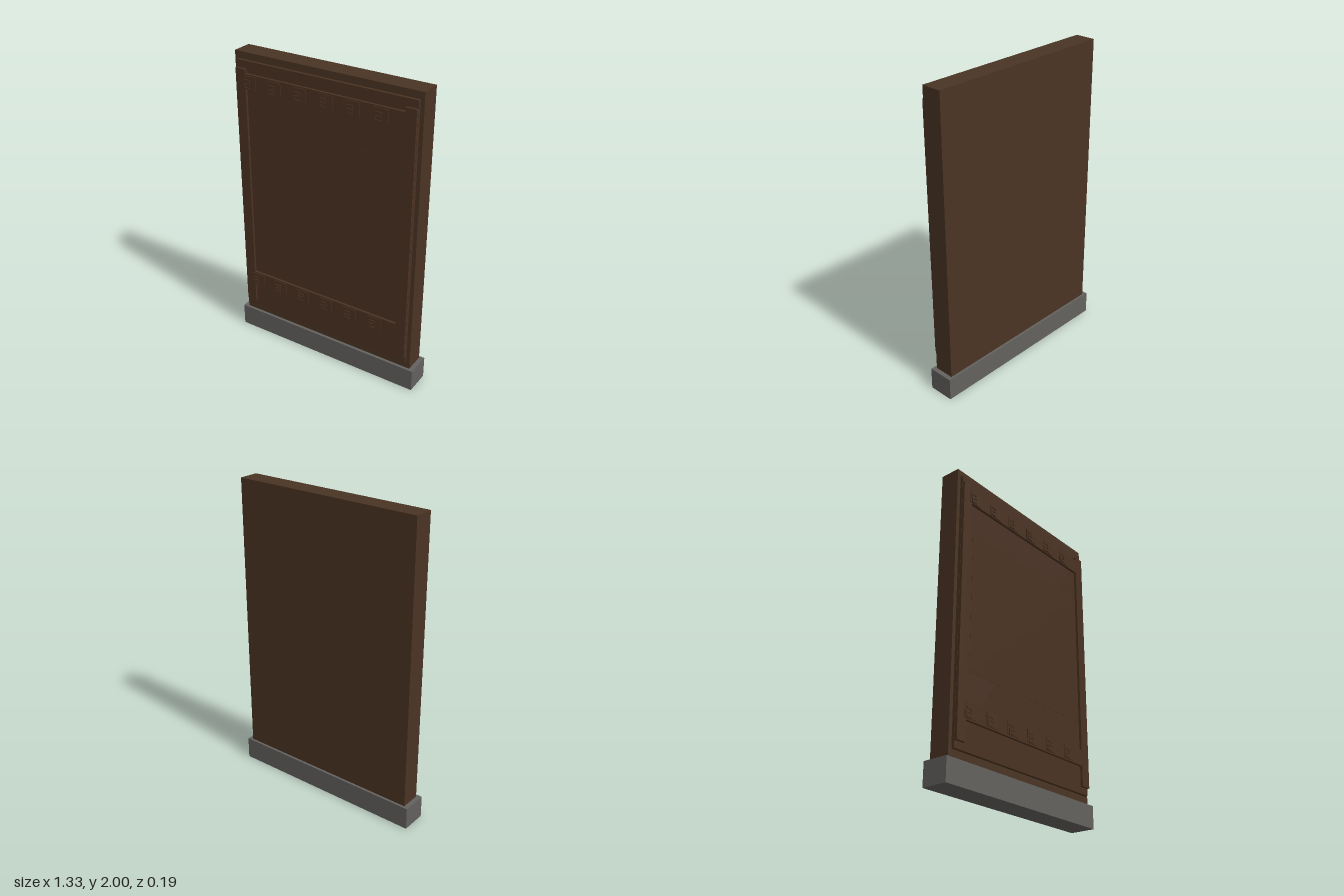
import * as THREE from 'three';

const mat = (name, color) => {
  const m = new THREE.MeshStandardMaterial({ color });
  m.name = name;
  return m;
};

export function createModel() {
  const group = new THREE.Group();
  const wood = mat('dark wood', 0x4a3423);
  const carved = mat('carved wood', 0x4a3222);
  const stone = mat('grey stone', 0x63615e);

  // Box given by its limits on each axis
  const block = (name, material, x0, x1, y0, y1, z0, z1, parent = group) => {
    const mesh = new THREE.Mesh(new THREE.BoxGeometry(x1 - x0, y1 - y0, z1 - z0), material);
    mesh.position.set((x0 + x1) / 2, (y0 + y1) / 2, (z0 + z1) / 2);
    mesh.name = name;
    parent.add(mesh);
    return mesh;
  };

  // Plinth, slab and raised field
  block('plinth', stone, -0.667, 0.667, 0, 0.147, -0.0975, 0.0705);
  block('slab', wood, -0.637, 0.637, 0.147, 2, -0.081, 0.051);
  block('raisedPanel', carved, -0.6125, 0.6125, 0.2, 1.955, 0.051, 0.0705);
  block('centrePanel', carved, -0.51, 0.51, 0.67, 1.58, 0.0705, 0.0715);

  // Frame: two side strips joined by two crossbands
  for (const s of [-1, 1]) {
    const a = s * 0.542, b = s * 0.6115;
    block('sideStrip', carved, Math.min(a, b), Math.max(a, b), 0.245, 1.907, 0.0705, 0.087);
  }
  block('upperBand', carved, -0.542, 0.542, 1.78, 1.88, 0.0705, 0.087);
  block('lowerBand', carved, -0.542, 0.542, 0.48 - 0.105, 0.48, 0.0705, 0.087);

  // Square meander tile with a stepped key on its face
  const keyBars = [
    [-0.037, 0.005, 0.012, 0.02],
    [-0.003, 0.005, -0.004, 0.012],
    [-0.037, 0.005, -0.012, -0.004],
    [-0.037, -0.029, -0.03, -0.012],
    [-0.037, 0.005, -0.038, -0.03],
  ];
  const meander = (x, y) => {
    const tile = new THREE.Group();
    tile.name = 'meanderTile';
    tile.position.set(x, y, 0);
    block('tilePlate', carved, -0.046, 0.046, -0.043, 0.043, 0.087, 0.092, tile);
    for (const [x0, x1, y0, y1] of keyBars) {
      block('keyBar', carved, x0, x1, y0, y1, 0.092, 0.0975, tile);
    }
    group.add(tile);
  };
  for (const y of [1.828, 0.428]) {
    for (let i = 0; i < 6; i++) meander(-0.51 + i * 0.181, y);
  }

  return group;
}
